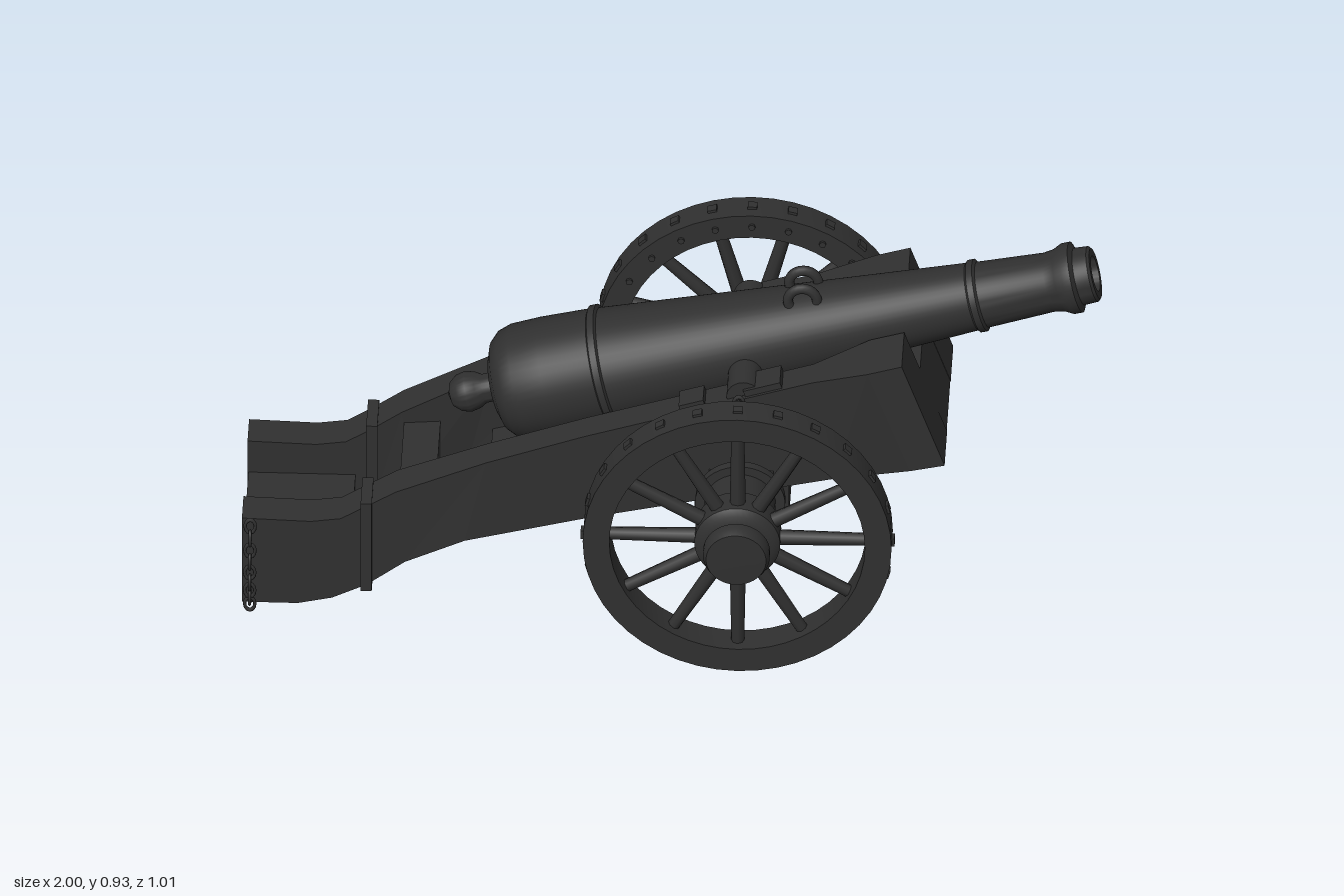
import * as THREE from 'three';
import { toCreasedNormals } from 'three/addons/utils/BufferGeometryUtils.js';

const iron = new THREE.MeshStandardMaterial({ color: 0x303030 });
iron.name = 'dark iron';

function add(parent, name, geometry, x = 0, y = 0, z = 0) {
  const mesh = new THREE.Mesh(geometry, iron);
  mesh.name = name;
  mesh.position.set(x, y, z);
  parent.add(mesh);
  return mesh;
}

// Turned part from [radius, height] pairs, smooth with sharp edges
function turned(profile, segments = 40) {
  const points = profile.map(([r, h]) => new THREE.Vector2(r, h));
  return toCreasedNormals(new THREE.LatheGeometry(points, segments), 0.6);
}

// Beam along x from stations [xBottom, yBottom, xTop, yTop, z0, z1], z0 < z1
function beam(stations) {
  const rings = stations.map(([xb, yb, xt, yt, z0, z1]) =>
    [[xb, yb, z0], [xb, yb, z1], [xt, yt, z1], [xt, yt, z0]]);
  const pos = [];
  const quad = (a, b, c, d) => pos.push(...a, ...b, ...c, ...a, ...c, ...d);
  for (let i = 0; i < rings.length - 1; i++) {
    for (let k = 0; k < 4; k++) {
      const n = (k + 1) % 4;
      quad(rings[i][k], rings[i + 1][k], rings[i + 1][n], rings[i][n]);
    }
  }
  quad(...rings[0]);
  quad(...rings[rings.length - 1].slice().reverse());
  const g = new THREE.BufferGeometry();
  g.setAttribute('position', new THREE.Float32BufferAttribute(pos, 3));
  g.computeVertexNormals();
  return g;
}

const SLOPE = Math.atan(0.262); // barrel elevation

function makeBarrel() {
  const barrel = new THREE.Group();
  barrel.name = 'barrel';
  // Knob, rounded breech, rings, taper, flared muzzle and bore
  const tube = turned([
    [0, -0.048], [0.028, -0.04], [0.043, -0.022], [0.048, 0], [0.043, 0.022], [0.034, 0.038], [0.034, 0.06],
    [0.07, 0.064], [0.105, 0.077], [0.126, 0.098], [0.137, 0.13], [0.14, 0.2], [0.138, 0.318],
    [0.145, 0.322], [0.145, 0.338], [0.136, 0.342], [0.08, 1.215], [0.086, 1.22], [0.086, 1.235],
    [0.078, 1.24], [0.07, 1.40], [0.074, 1.425], [0.084, 1.445], [0.084, 1.465], [0.068, 1.472],
    [0.066, 1.505], [0.06, 1.511], [0.042, 1.511], [0.042, 1.15], [0, 1.15],
  ], 48);
  tube.rotateZ(SLOPE - Math.PI / 2);
  add(barrel, 'gun tube', tube, -0.48, 0.478, 0);
  // Lifting handles
  for (const z of [-0.036, 0.036]) {
    add(barrel, 'lifting handle', new THREE.TorusGeometry(0.034, 0.012, 10, 24), 0.3, 0.788, z);
  }
  // Trunnions
  const trunnion = new THREE.CylinderGeometry(0.04, 0.04, 0.41, 24).rotateX(Math.PI / 2);
  add(barrel, 'trunnion', trunnion, 0.17, 0.63, 0);
  return barrel;
}

function makeWheel(spokeOffset) {
  const wheel = new THREE.Group();
  wheel.name = 'wheel';
  const rim = turned([[0.36, -0.038], [0.36, 0.038], [0.298, 0.038], [0.298, -0.038], [0.36, -0.038]], 48);
  add(wheel, 'rim', rim.rotateX(Math.PI / 2));
  // Hub: inner flange, nave and outer cap
  const hub = turned([
    [0, -0.152], [0.105, -0.152], [0.105, -0.13], [0.083, -0.13], [0.083, -0.04], [0.1, -0.036],
    [0.1, 0.03], [0.085, 0.042], [0.062, 0.045], [0.062, 0.058], [0.078, 0.06], [0.078, 0.08],
    [0.07, 0.097], [0.045, 0.098], [0, 0.098],
  ]);
  add(wheel, 'hub', hub.rotateX(Math.PI / 2));
  // Spokes
  for (let i = 0; i < 12; i++) {
    const a = i * Math.PI / 6 + spokeOffset;
    const spoke = new THREE.CylinderGeometry(0.015, 0.019, 0.24, 8).translate(0, 0.19, 0);
    add(wheel, 'spoke', spoke).rotation.z = a;
  }
  // Tyre studs and inner face nails
  for (let i = 0; i < 24; i++) {
    const a = i * Math.PI / 12;
    const stud = add(wheel, 'tyre stud', new THREE.BoxGeometry(0.012, 0.022, 0.022),
      Math.cos(a) * 0.36, Math.sin(a) * 0.36, 0);
    stud.rotation.z = a;
    add(wheel, 'rim nail', new THREE.CylinderGeometry(0.008, 0.008, 0.008, 8).rotateX(Math.PI / 2),
      Math.cos(a) * 0.33, Math.sin(a) * 0.33, -0.04);
  }
  return wheel;
}

function makeCarriage() {
  const carriage = new THREE.Group();
  carriage.name = 'carriage';
  const cheek = [
    [-1, 0, -1, 0.24, 0.11, 0.197],
    [-0.87, 0, -0.84, 0.235, 0.11, 0.197],
    [-0.79, 0.018, -0.77, 0.245, 0.11, 0.197],
    [-0.71, 0.058, -0.715, 0.28, 0.11, 0.198],
    [-0.62, 0.13, -0.64, 0.33, 0.115, 0.203],
    [-0.48, 0.205, -0.43, 0.43, 0.14, 0.217],
    [-0.18, 0.285, -0.2, 0.515, 0.145, 0.22],
    [0.38, 0.411, 0.33, 0.685, 0.145, 0.22],
    [0.56, 0.452, 0.46, 0.726, 0.1, 0.238],
    [0.64, 0.47, 0.54, 0.75, 0.1, 0.238],
  ];
  for (const side of [1, -1]) {
    const stations = side > 0 ? cheek
      : cheek.map(([a, b, c, d, z0, z1]) => [a, b, c, d, -z1, -z0]);
    add(carriage, 'cheek', beam(stations));
    // Iron band round the trail
    add(carriage, 'trail band', new THREE.BoxGeometry(0.026, 0.25, 0.106), -0.71, 0.172, side * 0.155);
    // Trunnion cap and clasp on top of the cheek
    add(carriage, 'trunnion cap', new THREE.BoxGeometry(0.09, 0.02, 0.07), 0.215, 0.655, side * 0.178)
      .rotation.z = 0.31;
    add(carriage, 'cap clasp', new THREE.BoxGeometry(0.06, 0.02, 0.06), 0.05, 0.6, side * 0.178)
      .rotation.z = 0.31;
  }
  // Cross pieces between the cheeks
  add(carriage, 'front transom', beam([
    [0.38, 0.411, 0.33, 0.57, -0.15, 0.15],
    [0.54, 0.447, 0.477, 0.62, -0.11, 0.11],
    [0.639, 0.47, 0.577, 0.645, -0.11, 0.11],
  ]));
  add(carriage, 'floor board', beam([
    [-0.42, 0.222, -0.43, 0.27, -0.15, 0.15],
    [-0.18, 0.288, -0.19, 0.335, -0.15, 0.15],
    [0.4, 0.416, 0.39, 0.46, -0.15, 0.15],
  ]));
  add(carriage, 'middle transom', new THREE.BoxGeometry(0.085, 0.1, 0.25), -0.593, 0.25, 0);
  add(carriage, 'trail board', new THREE.BoxGeometry(0.25, 0.042, 0.24), -0.873, 0.13, 0);
  // Axle and its bed
  add(carriage, 'axle', new THREE.BoxGeometry(0.15, 0.11, 0.53), 0.165, 0.375, 0);
  add(carriage, 'axle bed', new THREE.BoxGeometry(0.22, 0.1, 0.36), 0.165, 0.32, 0);
  return carriage;
}

// Hanging chain of alternating links along a straight or bent path
function makeChain(points, count) {
  const chain = new THREE.Group();
  chain.name = 'chain';
  const curve = new THREE.CatmullRomCurve3(points.map((p) => new THREE.Vector3(...p)));
  for (let i = 0; i < count; i++) {
    const p = curve.getPoint(i / (count - 1));
    const link = new THREE.TorusGeometry(0.012, 0.004, 6, 12).scale(1, 1.5, 1);
    add(chain, 'chain link', link, p.x, p.y, p.z).rotation.y = (i % 2) * Math.PI / 2;
  }
  return chain;
}

export function createModel() {
  const model = new THREE.Group();
  model.name = 'field cannon';
  model.add(makeBarrel(), makeCarriage());
  for (const side of [1, -1]) {
    const wheel = makeWheel(side > 0 ? 0 : Math.PI / 12);
    wheel.position.set(0.165, 0.375, side * 0.407);
    if (side < 0) wheel.rotation.y = Math.PI;
    model.add(wheel);
  }
  model.add(makeChain([[-0.98, 0.228, 0.212], [-0.98, 0.15, 0.232], [-0.98, 0.08, 0.242], [-0.98, 0.025, 0.238]], 9));
  model.add(makeChain([[0.16, 0.63, 0.232], [0.16, 0.55, 0.238]], 4));
  return model;
}
